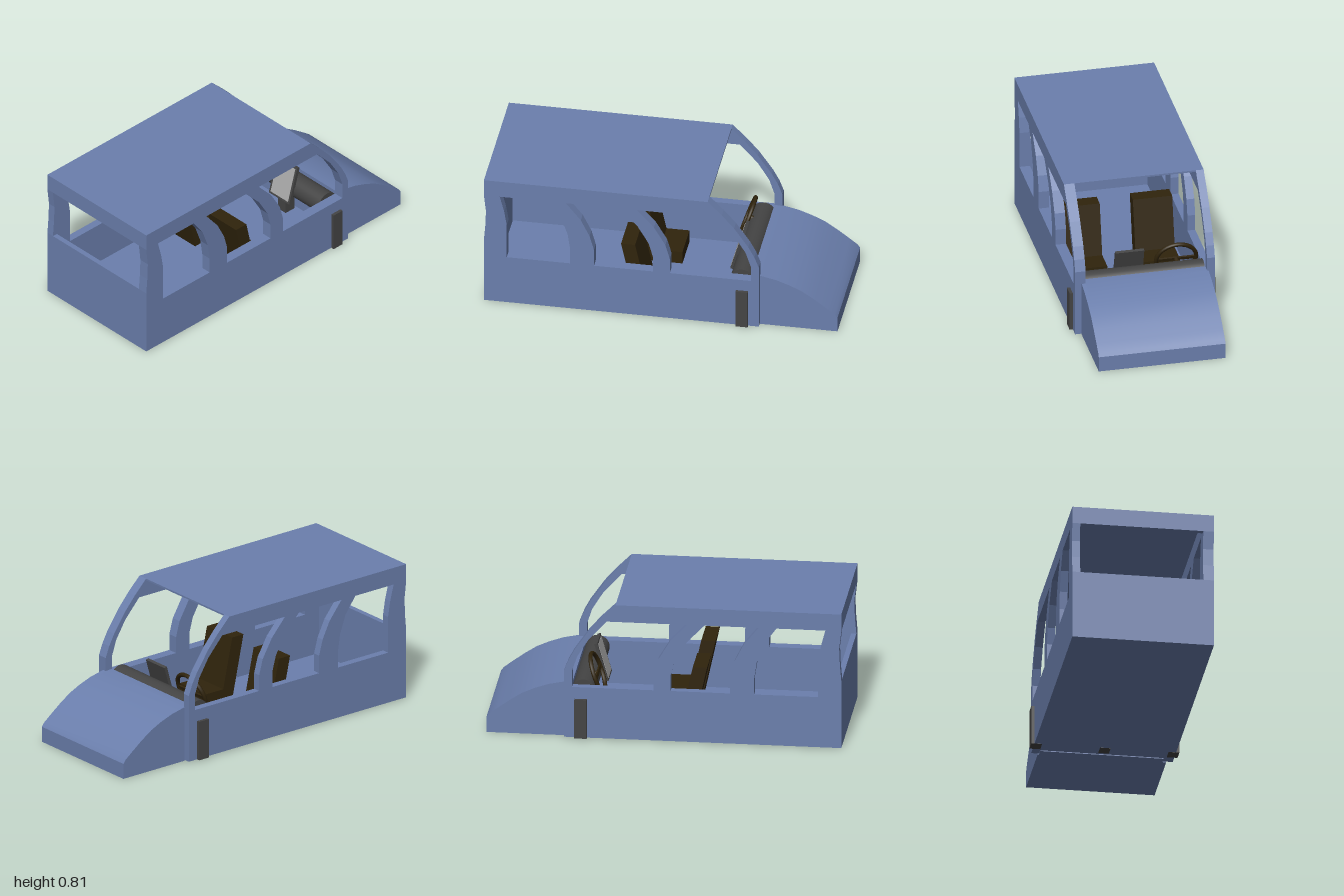
import * as THREE from 'three';
import { toCreasedNormals } from 'three/addons/utils/BufferGeometryUtils.js';

const mat = (color) => new THREE.MeshStandardMaterial({ color });
const toPoints = (list) => list.map(([z, y]) => new THREE.Vector2(z, y));

// Extrude a (z, y) side profile across x, from xMin to xMax
function extrudeAcross(profile, holes, xMin, xMax) {
  const shape = new THREE.Shape(toPoints(profile));
  holes.forEach((h) => shape.holes.push(new THREE.Path(toPoints(h))));
  const geo = new THREE.ExtrudeGeometry(shape, { depth: xMax - xMin, bevelEnabled: false });
  geo.rotateY(-Math.PI / 2);
  geo.translate(xMax, 0, 0);
  return geo;
}

function boxBetween(x0, x1, y0, y1, z0, z1) {
  const geo = new THREE.BoxGeometry(x1 - x0, y1 - y0, z1 - z0);
  return geo.translate((x0 + x1) / 2, (y0 + y1) / 2, (z0 + z1) / 2);
}

export function createModel() {
  const model = new THREE.Group();
  model.name = 'van';
  const blue = mat(0x6b7fad), grey = mat(0x444444), brown = mat(0x30240c), pale = mat(0xaaaaaa);
  const add = (name, geo, material, parent = model) => {
    const mesh = new THREE.Mesh(geo, material);
    mesh.name = name;
    parent.add(mesh);
    return mesh;
  };

  // Side walls with curved pillars between the windows
  const side = [
    [1, 0.005], [1, 0.405], [0.992, 0.5], [0.988, 0.6], [1, 0.705], [1, 0.805], [-0.27, 0.805],
    [-0.35, 0.725], [-0.42, 0.645], [-0.5, 0.53], [-0.535, 0.465], [-0.56, 0.4], [-0.56, 0.005],
  ];
  const windows = [
    [[0.87, 0.305], [0.87, 0.52], [0.885, 0.61], [0.91, 0.705],
      [0.635, 0.705], [0.565, 0.61], [0.525, 0.5], [0.51, 0.4], [0.51, 0.305]],
    [[0.375, 0.305], [0.375, 0.41], [0.4, 0.5], [0.45, 0.6], [0.535, 0.705],
      [0.23, 0.705], [0.13, 0.6], [0.065, 0.49], [0.04, 0.4], [0.04, 0.305]],
    [[-0.055, 0.305], [-0.055, 0.4], [-0.03, 0.49], [0.035, 0.6], [0.13, 0.705],
      [-0.32, 0.705], [-0.42, 0.595], [-0.485, 0.49], [-0.515, 0.4], [-0.515, 0.305]],
  ];
  add('rightSideWall', extrudeAcross(side, windows, -0.4, -0.355), blue);
  add('leftSideWall', extrudeAcross(side, windows, 0.34, 0.4), blue);

  // Floor, thin roof, and the end wall below and above its window
  add('floor', boxBetween(-0.36, 0.35, 0.005, 0.05, -0.55, 1), blue);
  add('roof', boxBetween(-0.36, 0.35, 0.795, 0.805, -0.27, 1), blue);
  add('endWall', boxBetween(-0.36, 0.35, 0.005, 0.405, 0.97, 1), blue);
  add('endWindowHeader', boxBetween(-0.36, 0.35, 0.705, 0.805, 0.97, 1), blue);

  // Sloping hood, narrower than the cabin
  const hood = [
    [-0.515, 0], [-0.515, 0.325], [-0.56, 0.322], [-0.65, 0.303], [-0.73, 0.275], [-0.8, 0.243],
    [-0.87, 0.197], [-0.94, 0.145], [-0.985, 0.11], [-1, 0.09], [-1, 0],
  ];
  add('hood', toCreasedNormals(extrudeAcross(hood, [], -0.355, 0.34), 0.5), blue);
  add('hoodNose', toCreasedNormals(
    extrudeAcross([[-0.56, 0], ...hood.slice(2)], [], -0.363, 0.363), 0.5), blue);

  // Dashboard roll and the three upright blocks below it
  const dash = new THREE.CylinderGeometry(0.068, 0.068, 0.695, 32).rotateZ(Math.PI / 2);
  add('dashboard', dash.translate(-0.0075, 0.267, -0.455), grey);
  add('rightSideBlock', boxBetween(-0.418, -0.357, 0.004, 0.235, -0.5, -0.43), grey);
  add('leftSideBlock', boxBetween(0.357, 0.418, 0.004, 0.235, -0.5, -0.43), grey);
  add('consolePost', boxBetween(-0.03, 0.03, 0.004, 0.235, -0.5, -0.43), grey);

  // Two seats: cushion and reclined back in one profile
  const seat = [
    [-0.04, 0.05], [-0.04, 0.125], [0.09, 0.125], [0.155, 0.42], [0.235, 0.42], [0.155, 0.05],
  ];
  add('rightSeat', extrudeAcross(seat, [], -0.315, -0.09), brown);
  add('leftSeat', extrudeAcross(seat, [], 0.1, 0.325), brown);

  // Steering wheel with a spoke and column
  const wheel = new THREE.Group();
  wheel.name = 'steeringWheel';
  wheel.position.set(-0.215, 0.325, -0.39);
  wheel.rotation.x = -0.35;
  add('wheelRim', new THREE.TorusGeometry(0.115, 0.012, 10, 36), brown, wheel);
  add('wheelSpoke', new THREE.BoxGeometry(0.225, 0.02, 0.01), brown, wheel);
  const column = new THREE.CylinderGeometry(0.014, 0.014, 0.06, 12).rotateX(Math.PI / 2);
  add('steeringColumn', column.translate(0, 0, -0.03), brown, wheel);
  model.add(wheel);

  // Tilted console screen
  const screen = new THREE.Group();
  screen.name = 'consoleScreen';
  screen.position.set(0.058, 0.312, -0.392);
  screen.rotation.x = -0.28;
  add('screenFrame', new THREE.BoxGeometry(0.165, 0.23, 0.018), grey, screen);
  add('screenFace', new THREE.BoxGeometry(0.14, 0.205, 0.004).translate(0, 0, 0.009), pale, screen);
  model.add(screen);

  return model;
}
